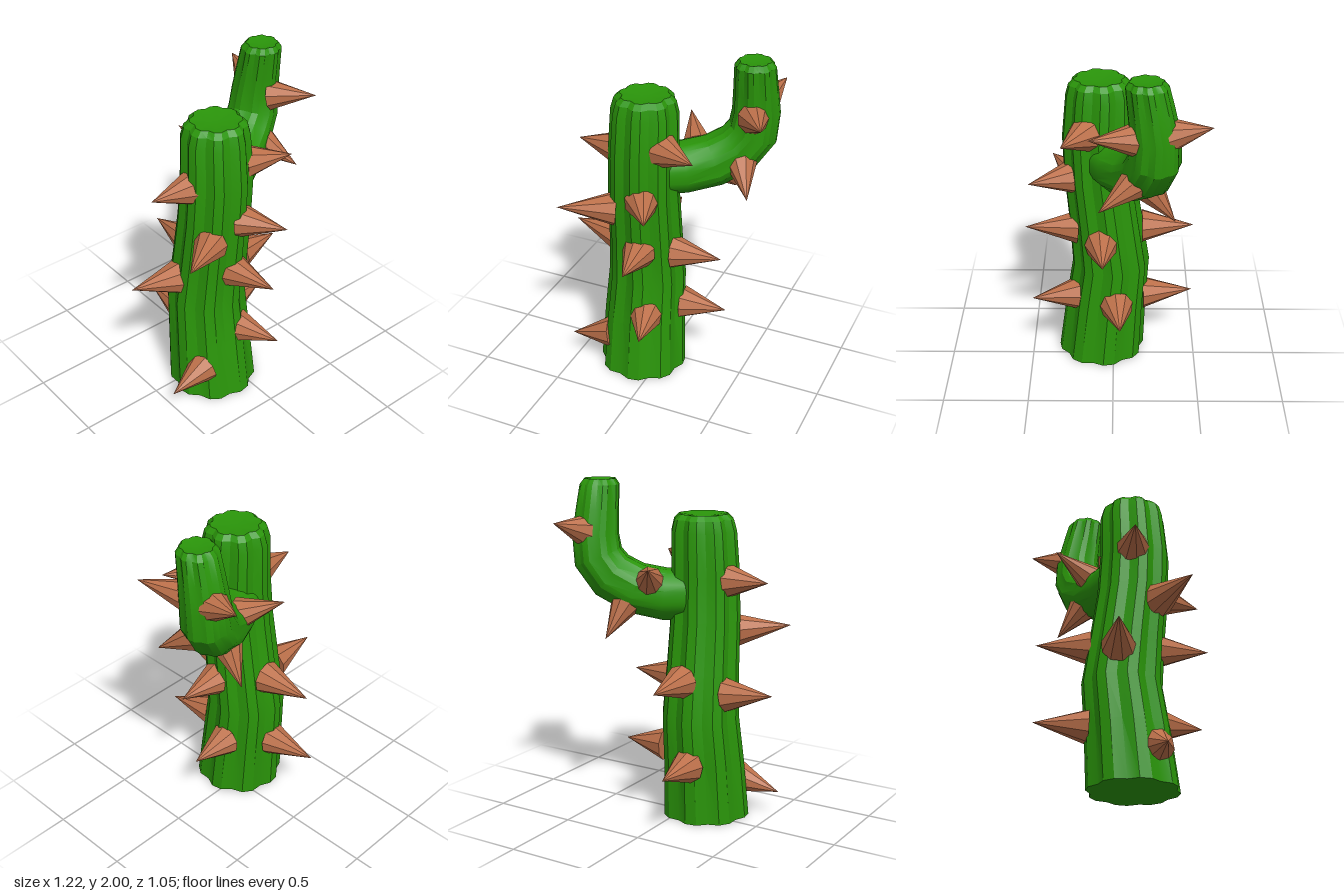
import * as THREE from 'three';
import { toCreasedNormals } from 'three/addons/utils/BufferGeometryUtils.js';

const green = new THREE.MeshStandardMaterial({ color: 0x2a950a });
const brown = new THREE.MeshStandardMaterial({ color: 0xbc704a, flatShading: true });
const SEG = 24; // eight flat-topped ribs of three points each

// Ribbed stem lofted through rings [x, y, z, radius]. Every third point is a valley,
// whose depth runs from depthStart to depthEnd; side points at the first valley.
function stem(name, rings, { side, depthStart, depthEnd, upright, capDrop }) {
  const centres = rings.map(([x, y, z]) => new THREE.Vector3(x, y, z));
  const pos = [], index = [];
  const last = rings.length - 1;
  rings.forEach(([, , , r], i) => {
    const t = upright(i) ? new THREE.Vector3(0, 1, 0)
      : centres[Math.min(i + 1, last)].clone().sub(centres[Math.max(i - 1, 0)]).normalize();
    const u = side.clone().addScaledVector(t, -side.dot(t)).normalize();
    const v = t.clone().cross(u);
    const depth = THREE.MathUtils.lerp(depthStart, depthEnd, i / last);
    for (let j = 0; j < SEG; j++) {
      const a = j / SEG * Math.PI * 2;
      const rr = j % 3 === 0 ? r * (1 - depth) : r;
      const p = centres[i].clone().addScaledVector(u, rr * Math.cos(a)).addScaledVector(v, rr * Math.sin(a));
      pos.push(p.x, p.y, p.z);
      if (i < last) {
        const k = i * SEG + j, n = i * SEG + (j + 1) % SEG;
        index.push(k, n, k + SEG, n, n + SEG, k + SEG);
      }
    }
  });
  // End caps
  const c = pos.length / 3;
  pos.push(...centres[0].toArray(), centres[last].x, centres[last].y - capDrop, centres[last].z);
  for (let j = 0; j < SEG; j++) {
    const n = (j + 1) % SEG;
    index.push(c, n, j, c + 1, last * SEG + j, last * SEG + n);
  }
  const geo = new THREE.BufferGeometry();
  geo.setAttribute('position', new THREE.Float32BufferAttribute(pos, 3));
  geo.setIndex(index);
  const mesh = new THREE.Mesh(toCreasedNormals(geo, 0.45), green);
  mesh.name = name;
  return mesh;
}

// Faceted cone from a base centre to a tip
function spike(base, tip, radius) {
  const a = new THREE.Vector3(...base), b = new THREE.Vector3(...tip);
  const dir = b.clone().sub(a), len = dir.length();
  const geo = new THREE.ConeGeometry(radius, len, 9);
  geo.translate(0, len / 2, 0);
  const mesh = new THREE.Mesh(geo, brown);
  mesh.quaternion.setFromUnitVectors(new THREE.Vector3(0, 1, 0), dir.normalize());
  mesh.position.copy(a);
  mesh.name = 'spike';
  return mesh;
}

function spikeGroup(name, list, radius) {
  const group = new THREE.Group();
  group.name = name;
  for (const [base, tip] of list) group.add(spike(base, tip, radius));
  return group;
}

export function createModel() {
  const model = new THREE.Group();
  model.name = 'cactus';

  // Slightly bent trunk with a rounded, sunken top
  model.add(stem('trunk', [
    [-0.115, 0, 0.075, 0.262],
    [-0.115, 0.35, 0.045, 0.245],
    [-0.11, 0.62, 0.015, 0.232],
    [-0.105, 0.9, 0.045, 0.218],
    [-0.1, 1.2, 0.08, 0.209],
    [-0.093, 1.45, 0.092, 0.205],
    [-0.09, 1.71, 0.08, 0.193],
    [-0.088, 1.775, 0.08, 0.176],
    [-0.086, 1.805, 0.08, 0.145],
  ], {
    side: new THREE.Vector3(0.54, 0, 0.84), depthStart: 0.09, depthEnd: 0.12,
    upright: () => true, capDrop: 0.02,
  }));

  // Arm reaching out to the left and back, then bending upward
  model.add(stem('arm', [
    [-0.04, 1.335, 0.035, 0.152],
    [0.1, 1.335, -0.04, 0.153],
    [0.25, 1.37, -0.125, 0.152],
    [0.37, 1.445, -0.19, 0.15],
    [0.442, 1.55, -0.222, 0.147],
    [0.457, 1.68, -0.224, 0.137],
    [0.457, 1.82, -0.202, 0.126],
    [0.457, 1.965, -0.178, 0.116],
    [0.457, 1.998, -0.174, 0.092],
  ], {
    side: new THREE.Vector3(0.5, 0, 0.87), depthStart: 0.03, depthEnd: 0.11,
    upright: i => i > 6, capDrop: 0.015,
  }));

  model.add(spikeGroup('trunkSpikes', [
    [[0.06, 1.52, 0.16], [0.29, 1.54, 0.29]],
    [[-0.26, 1.43, 0.07], [-0.52, 1.44, 0.06]],
    [[-0.23, 1.11, 0.21], [-0.51, 1.14, 0.38]],
    [[-0.31, 0.78, -0.02], [-0.61, 0.82, -0.04]],
    [[-0.27, 0.21, 0.19], [-0.53, 0.15, 0.22]],
    [[-0.07, 0.86, 0.22], [-0.03, 0.88, 0.525]],
    [[-0.04, 1.21, 0.24], [0.09, 1.22, 0.49]],
    [[-0.03, 0.42, 0.22], [0.05, 0.43, 0.49]],
    [[0.09, 0.82, 0.07], [0.38, 0.83, 0.06]],
    [[0.11, 0.41, -0.02], [0.38, 0.41, -0.04]],
    [[-0.09, 0.86, -0.17], [-0.1, 0.86, -0.48]],
    [[-0.14, 0.36, -0.18], [-0.16, 0.37, -0.485]],
  ], 0.1));

  model.add(spikeGroup('armSpikes', [
    [[0.48, 1.68, -0.11], [0.61, 1.73, 0.13]],
    [[0.48, 1.71, -0.31], [0.53, 1.77, -0.525]],
    [[0.42, 1.39, -0.11], [0.53, 1.27, 0.08]],
    [[0.27, 1.29, -0.2], [0.31, 1.1, -0.35]],
    [[0.13, 1.42, -0.16], [0, 1.53, -0.375]],
  ], 0.09));

  return model;
}
